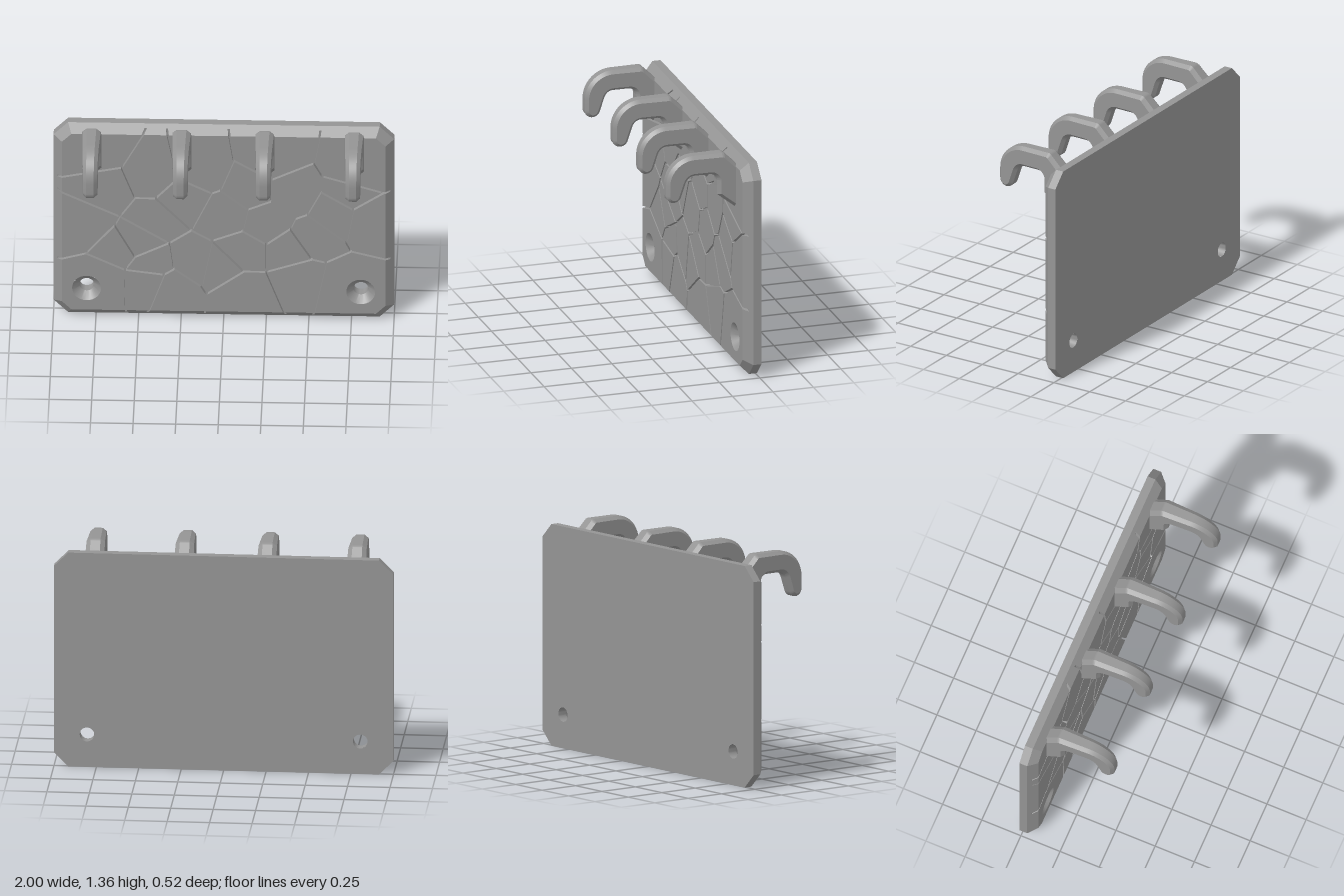
import * as THREE from 'three';
import { mergeGeometries, toCreasedNormals } from 'three/addons/utils/BufferGeometryUtils.js';

const BACK = -0.26, BEVEL = -0.21, FLOOR = -0.19, FACE = -0.16;
const HEIGHT = 1.32, CORNER = 0.085, GROOVE = 0.0065;
const HOLES = [[-0.805, 0.2], [0.805, 0.2]];

// Corner points of the groove network: first those beyond the rim, then the inner ones
const NODES = [
  [-.42, 1.37], [-.35, 1.38], [.02, 1.36], [.58, 1.37], [1.1, 1.4], [1.1, .89], [1.1, .39], [1.1, -.1],
  [.5, -.1], [.41, -.1], [-.12, -.1], [-.49, -.1], [-.57, -.1], [-1.1, -.1], [-1.1, .36], [-1.05, .91],
  [-1.05, .95], [-1.1, 1.4],
  [-.6, 1.04], [-.52, .83], [-.4, .83], [-.27, .97], [-.07, .87], [-.02, .89], [.06, 1.1], [.28, .97],
  [.53, 1.09], [.58, 1], [.57, .89], [.94, .89], [.76, .77], [.49, .73], [.42, .7], [.28, .82],
  [.14, .76], [.11, .61], [.25, .52], [.39, .63], [.72, .54], [.75, .48], [.6, .4], [.52, .42],
  [.25, .33], [.12, .33], [-.07, .54], [-.19, .61], [-.32, .52], [-.61, .7], [-.64, .64], [-.81, .44],
  [-.52, .42], [-.58, .33], [-.35, .3], [-.29, .34], [-.31, .5], [-.13, .22], [-.1, .17],
].map(([x, y]) => new THREE.Vector2(x, y));

// Tiles between the grooves, as node numbers
const RIM_TILES = [
  [17, 0, 18, 16], [0, 1, 21, 20, 19, 18], [1, 2, 24, 23, 22, 21], [2, 3, 26, 25, 24],
  [3, 4, 5, 29, 27, 26], [16, 18, 19, 47, 15], [15, 47, 48, 49, 14], [39, 38, 30, 29, 5, 6],
  [51, 52, 11, 12], [52, 53, 55, 56, 10, 11], [56, 43, 42, 9, 10], [42, 41, 40, 8, 9],
];
const SCREW_TILES = [[14, 49, 51, 12, 13], [40, 39, 6, 7, 8]];
const INNER_TILES = [
  [27, 29, 30, 28], [25, 26, 27, 28, 31, 32, 33], [28, 30, 38, 31], [24, 25, 33, 34, 23],
  [34, 33, 32, 37, 36, 35], [31, 38, 39, 40, 41, 37, 32], [37, 41, 42, 36], [35, 36, 42, 43, 44],
  [22, 23, 34, 35, 44, 45], [21, 22, 45, 20], [19, 20, 45, 46, 47], [47, 46, 50, 48],
  [48, 50, 51, 49], [50, 46, 54, 53, 52, 51], [46, 45, 44, 55, 53, 54], [44, 43, 56, 55],
];

// Plate outline with cut corners, moved inward by d, counter-clockwise
function outline(d) {
  const c = CORNER - d * (2 - Math.SQRT2), x = 1 - d, y0 = d, y1 = HEIGHT - d;
  return [[-x + c, y0], [x - c, y0], [x, y0 + c], [x, y1 - c], [x - c, y1], [-x + c, y1], [-x, y1 - c], [-x, y0 + c]]
    .map(([px, py]) => new THREE.Vector2(px, py));
}

// Move every edge of a counter-clockwise polygon inward
function inset(points, d) {
  const n = points.length;
  return points.map((p, i) => {
    const u = p.clone().sub(points[(i + n - 1) % n]).normalize();
    const v = points[(i + 1) % n].clone().sub(p).normalize();
    const a = new THREE.Vector2(-u.y, u.x), b = new THREE.Vector2(-v.y, v.x);
    return a.clone().add(b).multiplyScalar(d / (1 + a.dot(b))).add(p);
  });
}

// Keep the part of a polygon that lies inside a convex outline
function clip(points, border) {
  border.forEach((a, k) => {
    const e = border[(k + 1) % border.length].clone().sub(a);
    const side = (p) => e.cross(p.clone().sub(a));
    const kept = [];
    points.forEach((p, i) => {
      const q = points[(i + 1) % points.length], sp = side(p), sq = side(q);
      if (sp >= 0) kept.push(p);
      if (sp * sq < 0) kept.push(p.clone().lerp(q, sp / (sp - sq)));
    });
    points = kept;
  });
  return points;
}

// Flat face with optional round holes
function cap(points, z, holes = [], radius = 0) {
  const shape = new THREE.Shape(points);
  holes.forEach(([x, y]) => shape.holes.push(new THREE.Path().absarc(x, y, radius, 0, Math.PI * 2, true)));
  const geo = new THREE.ShapeGeometry(shape, 32).toNonIndexed().translate(0, 0, z);
  geo.deleteAttribute('uv');
  geo.deleteAttribute('normal');
  return geo;
}

// Side walls between a lower and an upper polygon
function walls(low, zLow, high, zHigh) {
  const pos = [];
  low.forEach((a, i) => {
    const j = (i + 1) % low.length, b = low[j], c = high[j], d = high[i];
    pos.push(a.x, a.y, zLow, b.x, b.y, zLow, c.x, c.y, zHigh, a.x, a.y, zLow, c.x, c.y, zHigh, d.x, d.y, zHigh);
  });
  return new THREE.BufferGeometry().setAttribute('position', new THREE.Float32BufferAttribute(pos, 3));
}

function flat(parts) {
  const geo = mergeGeometries(parts);
  geo.computeVertexNormals();
  return geo;
}

function tileParts(ids, holes) {
  let points = ids.map((i) => NODES[i]);
  if (THREE.ShapeUtils.area(points) < 0) points.reverse();
  points = inset(points, GROOVE);
  const low = clip(points, outline(0.02)), high = clip(points, outline(0.05));
  return [walls(low, FLOOR, high, FACE), cap(high, FACE, holes, 0.085)];
}

// Hook side profile (z, y), extruded with a chamfer and narrowed toward its tip
function hookGeometry() {
  const s = new THREE.Shape();
  s.moveTo(-0.2, 1.015);
  s.lineTo(-0.16, 1.015);
  s.lineTo(-0.053, 1.1);
  s.absarc(-0.008, 1.185, 0.045, Math.PI, Math.PI / 2, true);
  s.lineTo(0.085, 1.23);
  s.quadraticCurveTo(0.125, 1.23, 0.14, 1.19);
  s.absarc(0.213, 1.12, 0.047, -0.89 * Math.PI, 0, false);
  s.absarc(0.09, 1.185, 0.17, 0, Math.PI / 2, false);
  s.lineTo(-0.08, 1.355);
  s.quadraticCurveTo(-0.095, 1.355, -0.107, 1.34);
  s.lineTo(-0.2, 1.25);
  const ch = 0.019, chX = 0.027, width = 0.114;
  const geo = new THREE.ExtrudeGeometry(s, {
    depth: width - 2 * chX, bevelThickness: chX, bevelSize: ch, bevelOffset: -ch, bevelSegments: 1, curveSegments: 12,
  });
  geo.translate(0, 0, -(width / 2 - chX)).rotateY(-Math.PI / 2);
  const p = geo.attributes.position;
  for (let i = 0; i < p.count; i++) p.setX(i, p.getX(i) * (1 - 0.65 * (p.getZ(i) + 0.16)));
  return toCreasedNormals(geo, 0.5);
}

export function createModel() {
  const group = new THREE.Group();
  const grey = new THREE.MeshStandardMaterial({ color: 0x949494 });
  const lining = new THREE.MeshStandardMaterial({ color: 0x949494, side: THREE.DoubleSide });
  const add = (name, geo, material = grey) => {
    const mesh = new THREE.Mesh(geo, material);
    mesh.name = name;
    group.add(mesh);
    return mesh;
  };

  // Back plate up to the groove floor
  const full = outline(0), floor = outline(0.02);
  add('backPlate', flat([
    cap(full, -BACK, HOLES, 0.043).rotateY(Math.PI),
    walls(full, BACK, full, BEVEL),
    walls(full, BEVEL, floor, FLOOR),
    cap(floor, FLOOR, HOLES, 0.08),
  ]));

  // Raised tiles, leaving the grooves between them
  add('frontTiles', flat([...RIM_TILES, ...INNER_TILES].flatMap((ids) => tileParts(ids))));
  add('screwTiles', flat(SCREW_TILES.flatMap((ids, i) => tileParts(ids, [HOLES[i]]))));

  // Countersunk screw holes
  const sink = new THREE.LatheGeometry(
    [[0.043, BACK], [0.043, -0.202], [0.085, FACE]].map(([r, z]) => new THREE.Vector2(r, z)), 32);
  const sinkGeo = toCreasedNormals(sink.rotateX(Math.PI / 2), 0.5);
  HOLES.forEach(([x, y]) => add('screwHole', sinkGeo, lining).position.set(x, y, 0));

  // Row of hooks
  const hook = hookGeometry();
  [-0.774, -0.245, 0.243, 0.768].forEach((x) => { add('hook', hook).position.x = x; });
  return group;
}
